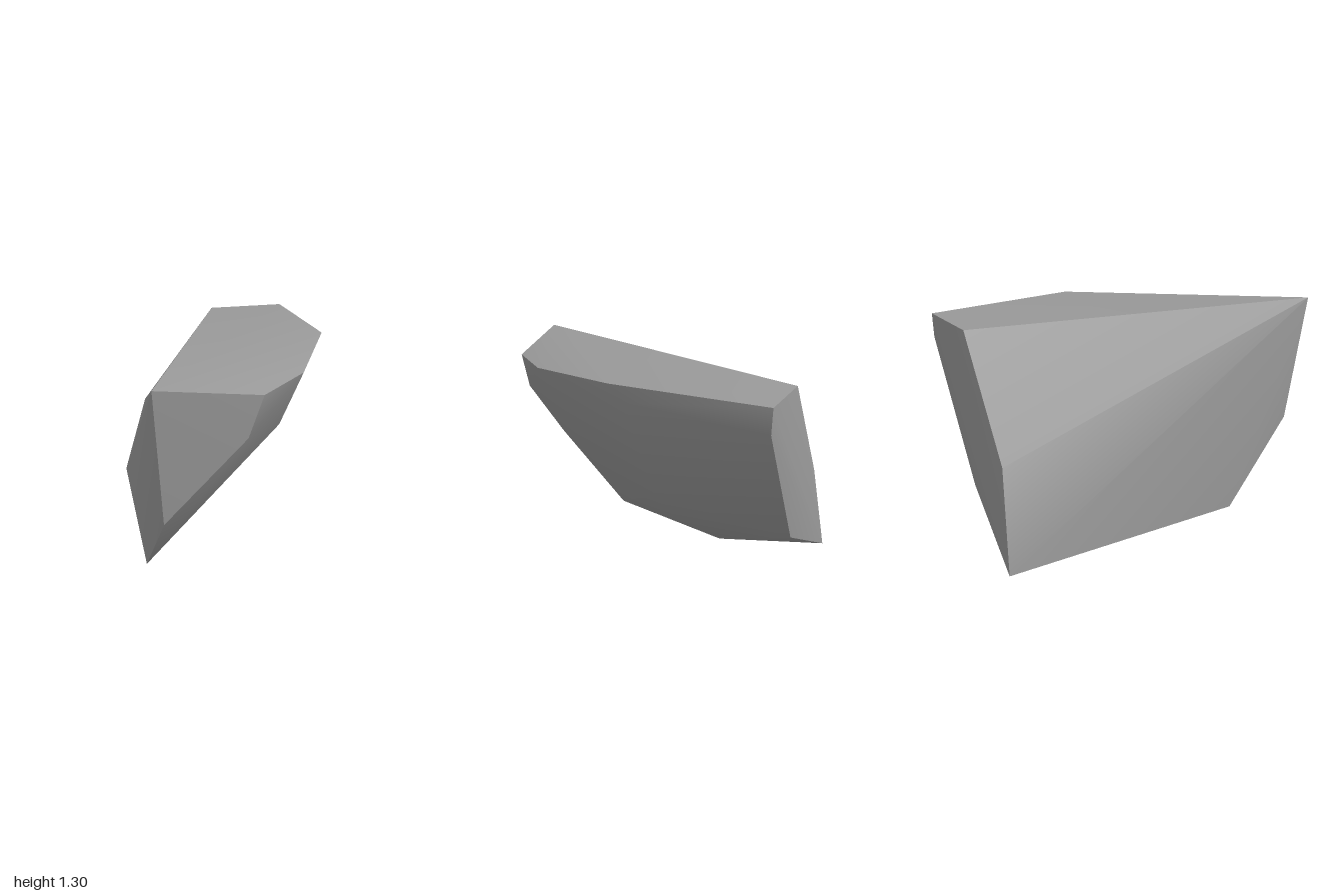
import * as THREE from 'three';
import { toCreasedNormals } from 'three/addons/utils/BufferGeometryUtils.js';
import { ConvexGeometry } from 'three/addons/geometries/ConvexGeometry.js';

export function createModel() {
  const stone = new THREE.MeshStandardMaterial({ color: 0x999999 });
  stone.name = 'stoneGrey';

  // corners of the broken rock chunk
  const corners = [
    // rim of the flat top
    [-0.595, 1.3, 1], [-0.02, 1.205, 0.915], [0.28, 1.205, 0.615],
    [0.595, 1.24, -0.01], [0.595, 1.205, -0.925], [0.1, 1.205, -0.925],
    // front facet
    [-0.1, 0.98, 0.915], [-0.545, 0.54, 0.92],
    // foot
    [-0.59, 0.05, 0.47], [-0.545, 0, -1], [-0.115, 0.11, -0.43],
    // back
    [-0.39, 0.56, -0.945], [0.06, 0.28, -0.925], [0.595, 1.06, -0.92],
    // bulging side
    [0.595, 1.14, -0.1], [0.2, 0.85, 0.45], [0.23, 0.48, -0.13], [0.065, 0.285, -0.2],
  ].map((p) => new THREE.Vector3(...p));

  // worn faces blend softly, broken edges stay sharp
  const rock = new THREE.Mesh(toCreasedNormals(new ConvexGeometry(corners), 0.65), stone);
  rock.name = 'rockChunk';

  const model = new THREE.Group();
  model.name = 'rock';
  model.add(rock);
  return model;
}
